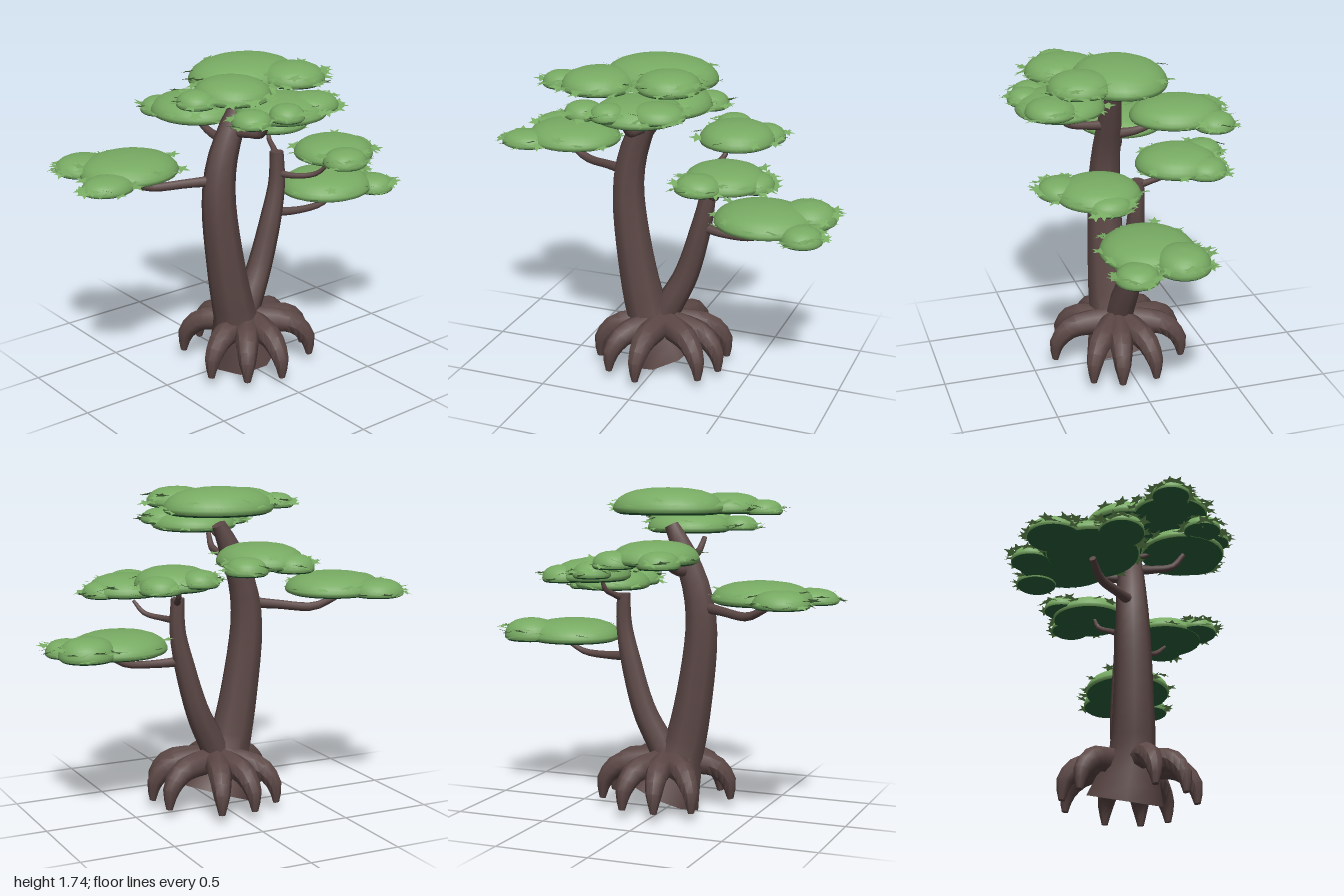
import * as THREE from 'three';
import { mergeGeometries, toCreasedNormals } from 'three/addons/utils/BufferGeometryUtils.js';

const bark = new THREE.MeshStandardMaterial({ color: 0x5c4846 });
bark.name = 'bark brown';
const leaf = new THREE.MeshStandardMaterial({ color: 0x78ab63, side: THREE.DoubleSide });
leaf.name = 'leaf green';
const shade = new THREE.MeshStandardMaterial({ color: 0x2b673e });
shade.name = 'underside green';

let seed = 7;
const rand = () => (seed = (seed * 16807) % 2147483647) / 2147483647;

function add(parent, name, geometry, material) {
  const mesh = new THREE.Mesh(geometry, material);
  mesh.name = name;
  parent.add(mesh);
  return mesh;
}

// Tapered, capped limb through points [x, y, z, radius]
function limb(points, rings = 14, sides = 10) {
  const curve = new THREE.CatmullRomCurve3(points.map(p => new THREE.Vector3(p[0], p[1], p[2])));
  const tube = new THREE.TubeGeometry(curve, rings, 1, sides);
  const pos = tube.attributes.position;
  const coords = [];
  const v = new THREE.Vector3();
  for (let j = 0; j <= rings; j++) {
    const centre = curve.getPointAt(j / rings);
    const t = curve.getUtoTmapping(j / rings) * (points.length - 1);
    const k = Math.min(Math.floor(t), points.length - 2);
    const radius = THREE.MathUtils.lerp(points[k][3], points[k + 1][3], t - k);
    for (let i = 0; i <= sides; i++) {
      v.fromBufferAttribute(pos, j * (sides + 1) + i).sub(centre).multiplyScalar(radius).add(centre);
      coords.push(v.x, v.y, v.z);
    }
  }
  const start = coords.length / 3;
  coords.push(...points[0].slice(0, 3), ...points[points.length - 1].slice(0, 3));
  const index = Array.from(tube.index.array);
  const last = rings * (sides + 1);
  for (let i = 0; i < sides; i++) {
    index.push(i, i + 1, start, last + i + 1, last + i, start + 1);
  }
  const geo = new THREE.BufferGeometry();
  geo.setAttribute('position', new THREE.Float32BufferAttribute(coords, 3));
  geo.setIndex(index);
  return toCreasedNormals(geo, 0.8);
}

// Unit dome: rounded green top and dark, chamfered underside
const profile = pts => pts.map(p => new THREE.Vector2(p[0], p[1]));
const domeTop = new THREE.LatheGeometry(profile([
  [0.97, 0.08], [1, 0.17], [1, 0.26], [0.97, 0.42], [0.9, 0.6], [0.78, 0.76], [0.6, 0.89], [0.35, 0.97], [0, 1],
]), 32);
const domeUnder = toCreasedNormals(new THREE.LatheGeometry(profile([
  [0, 0.01], [0.6, 0.005], [0.88, 0], [0.97, 0.08],
]), 32), 0.3);

// Small five-pointed leaf tuft
const starShape = new THREE.Shape();
for (let i = 0; i < 10; i++) {
  const r = i % 2 ? 0.45 : 1;
  const a = i * Math.PI / 5;
  starShape[i ? 'lineTo' : 'moveTo'](r * Math.cos(a), r * Math.sin(a));
}
const star = new THREE.ShapeGeometry(starShape).rotateX(-Math.PI / 2);

// Foliage pad made of domes [x, base y, z, radius x, radius z, height]; the first is the main one
function foliage(name, domes) {
  const pad = new THREE.Group();
  pad.name = name;
  const tufts = [];
  domes.forEach(([x, y, z, rx, rz, h], d) => {
    for (const [part, geo, mat] of [['padTop', domeTop, leaf], ['padUnderside', domeUnder, shade]]) {
      const mesh = add(pad, part, geo, mat);
      mesh.position.set(x, y, z);
      mesh.scale.set(rx, h, rz);
    }
    const count = Math.round((rx + rz) * Math.PI / (d ? 0.04 : 0.12));
    for (let i = 0; i < count; i++) {
      const a = (i + rand() * 0.6) / count * Math.PI * 2;
      const out = 0.95 + rand() * 0.13;
      const px = x + Math.cos(a) * rx * out;
      const pz = z + Math.sin(a) * rz * out;
      // Skip tufts buried in a neighbouring dome
      const buried = domes.some((o, k) => k !== d && Math.hypot((px - o[0]) / o[3], (pz - o[2]) / o[4]) < 0.8);
      const size = 0.037 + rand() * 0.013;
      const tiltX = rand() - 0.5;
      const tiltZ = rand() - 0.5;
      if (buried) continue;
      tufts.push(star.clone().scale(size, size, size).rotateY(rand() * 6)
        .rotateX(tiltX * 0.8).rotateZ(tiltZ * 0.8)
        .translate(px, y + h * (0.15 + rand() * 0.5), pz));
    }
  });
  add(pad, 'leafTufts', mergeGeometries(tufts), leaf);
  return pad;
}

export function createModel() {
  const tree = new THREE.Group();
  tree.name = 'tree';

  // Two trunks leaning apart
  add(tree, 'mainTrunk', limb([
    [0.01, 0.07, 0.01, 0.2], [-0.07, 0.3, 0.045, 0.12], [-0.135, 0.6, 0.05, 0.105], [-0.18, 1.0, 0.045, 0.09],
    [-0.155, 1.2, 0.04, 0.08], [-0.08, 1.4, 0.04, 0.065], [-0.01, 1.54, 0.04, 0.04],
  ], 18, 8), bark);
  add(tree, 'secondTrunk', limb([
    [-0.02, 0.22, 0.02, 0.08], [0.04, 0.35, 0.015, 0.078], [0.13, 0.53, 0, 0.068], [0.21, 0.8, 0, 0.058],
    [0.25, 1.0, 0, 0.045], [0.25, 1.17, -0.005, 0.038],
  ], 16, 8), bark);

  // Branches
  const branches = {
    leftBranch: [[-0.18, 1.11, 0.05, 0.032], [-0.32, 1.1, -0.03, 0.025], [-0.5, 1.09, -0.13, 0.023], [-0.61, 1.14, -0.17, 0.018]],
    frontBranch: [[-0.09, 1.36, 0.06, 0.03], [-0.08, 1.37, 0.17, 0.022], [-0.08, 1.39, 0.27, 0.019], [-0.09, 1.46, 0.33, 0.014]],
    backBranch: [[-0.1, 1.3, 0, 0.03], [-0.1, 1.31, -0.12, 0.022], [-0.1, 1.35, -0.22, 0.018], [-0.1, 1.41, -0.28, 0.013]],
    topBranch: [[-0.04, 1.47, 0.05, 0.02], [-0.03, 1.48, 0.11, 0.015], [-0.02, 1.52, 0.17, 0.012]],
    lowerBranch: [[0.22, 0.83, 0, 0.028], [0.36, 0.82, 0.04, 0.022], [0.52, 0.83, 0.06, 0.018], [0.6, 0.87, 0.06, 0.013]],
    smallFrontBranch: [[0.25, 1.05, 0, 0.022], [0.29, 1.05, 0.1, 0.016], [0.36, 1.07, 0.19, 0.014], [0.395, 1.13, 0.25, 0.009]],
    smallBackBranch: [[0.25, 1.14, 0, 0.022], [0.28, 1.17, -0.07, 0.016], [0.3, 1.2, -0.13, 0.014], [0.31, 1.26, -0.155, 0.009]],
  };
  for (const [name, points] of Object.entries(branches)) add(tree, name, limb(points, 10, 8), bark);

  // Unevenly spaced arched roots, angles in degrees from the left side towards the front
  for (const degrees of [12, 38, 95, 127, 160, 226, 259, 290, 340]) {
    const a = THREE.MathUtils.degToRad(degrees);
    const path = [[0.03, 0.255, 0.08], [0.15, 0.255, 0.07], [0.26, 0.235, 0.062], [0.335, 0.155, 0.046], [0.35, 0.05, 0.017]];
    add(tree, 'root', limb(path.map(([r, y, w]) =>
      [0.015 + Math.cos(a) * r, y, 0.03 + Math.sin(a) * r, w]), 9, 8), bark);
  }

  // Foliage pads, from the crown down
  const pads = {
    crownFoliage: [[0, 1.6, 0.02, 0.3, 0.25, 0.14], [-0.25, 1.6, 0.25, 0.19, 0.2, 0.11],
      [0.13, 1.625, 0.26, 0.165, 0.165, 0.105], [-0.46, 1.595, 0.24, 0.1, 0.1, 0.08]],
    frontFoliage: [[0, 1.49, 0.33, 0.23, 0.23, 0.11], [-0.1, 1.52, 0.49, 0.09, 0.09, 0.08],
      [0.13, 1.52, 0.41, 0.14, 0.13, 0.085], [-0.26, 1.5, 0.42, 0.1, 0.1, 0.08]],
    backFoliage: [[-0.07, 1.36, -0.32, 0.22, 0.25, 0.12], [-0.16, 1.35, -0.5, 0.11, 0.11, 0.09],
      [0.09, 1.345, -0.48, 0.11, 0.11, 0.09]],
    leftFoliage: [[-0.59, 1.165, -0.17, 0.26, 0.24, 0.115], [-0.75, 1.165, -0.36, 0.145, 0.14, 0.09],
      [-0.81, 1.16, -0.03, 0.14, 0.115, 0.08]],
    frontRightFoliage: [[0.43, 1.17, 0.25, 0.21, 0.21, 0.11], [0.35, 1.18, 0.43, 0.12, 0.11, 0.09],
      [0.59, 1.165, 0.24, 0.09, 0.11, 0.08]],
    backRightFoliage: [[0.35, 1.255, -0.18, 0.2, 0.21, 0.115], [0.28, 1.28, -0.34, 0.1, 0.1, 0.085],
      [0.47, 1.25, -0.29, 0.11, 0.11, 0.09]],
    lowerRightFoliage: [[0.57, 0.895, 0.04, 0.26, 0.24, 0.12], [0.78, 0.9, -0.07, 0.15, 0.14, 0.12],
      [0.81, 0.88, 0.17, 0.11, 0.11, 0.09]],
  };
  for (const [name, domes] of Object.entries(pads)) tree.add(foliage(name, domes));

  return tree;
}
